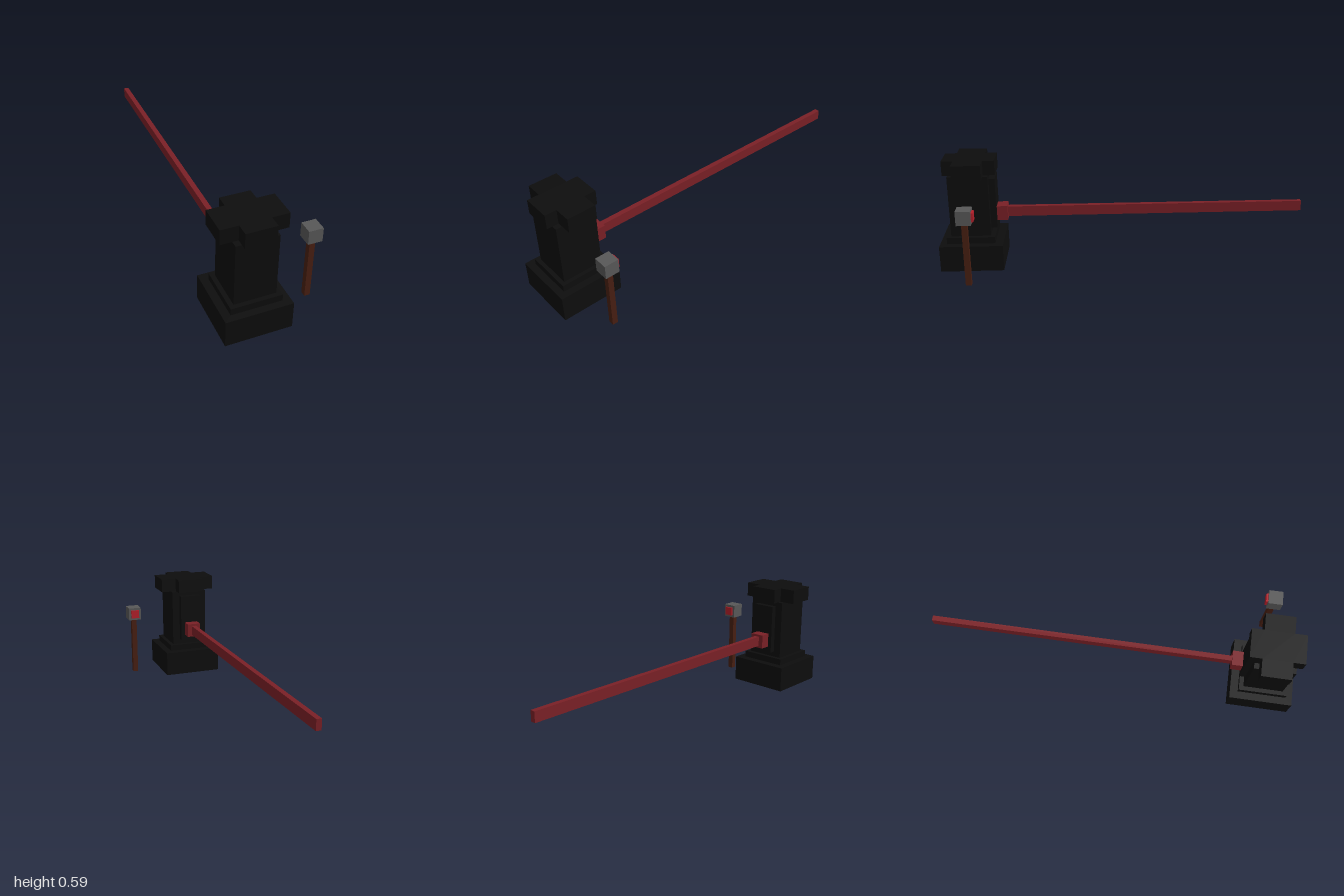
import * as THREE from 'three';

const mat = (color) => new THREE.MeshStandardMaterial({ color });

export function createModel() {
  const model = new THREE.Group();
  const black = mat(0x0d0d0d), red = mat(0x7a2026), grey = mat(0x585858);
  const brown = mat(0x481f12), brightRed = mat(0xb51f2a);

  // Box standing on y0, centred on x and z within its group
  const box = (parent, name, material, w, h, d, x, y0, z) => {
    const mesh = new THREE.Mesh(new THREE.BoxGeometry(w, h, d), material);
    mesh.name = name;
    mesh.position.set(x, y0 + h / 2, z);
    parent.add(mesh);
    return mesh;
  };

  // Tower: stepped base, shaft and back panel
  const tower = new THREE.Group();
  tower.name = 'tower';
  tower.position.set(-0.102, 0, 0.83);
  model.add(tower);
  box(tower, 'base', black, 0.34, 0.144, 0.34, 0, 0, 0);
  box(tower, 'baseStep', black, 0.26, 0.036, 0.26, 0, 0.144, 0.003);
  box(tower, 'shaft', black, 0.214, 0.335, 0.214, 0, 0.18, 0.004);
  box(tower, 'backPanel', black, 0.125, 0.28, 0.04, 0, 0.21, -0.115);

  // Cross-shaped cap
  const [W, D, w, d] = [0.167, 0.14, 0.077, 0.077];
  const cross = new THREE.Shape([
    [-W, -d], [-w, -d], [-w, -D], [w, -D], [w, -d], [W, -d],
    [W, d], [w, d], [w, D], [-w, D], [-w, d], [-W, d],
  ].map(([x, y]) => new THREE.Vector2(x, y)));
  const capGeometry = new THREE.ExtrudeGeometry(cross, { depth: 0.08, bevelEnabled: false });
  capGeometry.rotateX(-Math.PI / 2);
  const cap = new THREE.Mesh(capGeometry, black);
  cap.name = 'cap';
  cap.position.y = 0.515;
  tower.add(cap);

  // Barrier arm with its mounting block
  const barrier = new THREE.Group();
  barrier.name = 'barrier';
  barrier.position.x = -0.103;
  model.add(barrier);
  box(barrier, 'armMount', red, 0.08, 0.08, 0.06, 0, 0.244, 0.667);
  box(barrier, 'arm', red, 0.028, 0.056, 1.64, 0, 0.256, -0.18);

  // Button post
  const post = new THREE.Group();
  post.name = 'buttonPost';
  post.position.set(0.233, 0, 0.827);
  model.add(post);
  box(post, 'pole', brown, 0.03, 0.344, 0.03, 0, 0, 0);
  box(post, 'buttonHousing', grey, 0.076, 0.076, 0.076, 0, 0.344, 0);
  box(post, 'button', brightRed, 0.048, 0.048, 0.02, 0, 0.358, -0.039);

  return model;
}
